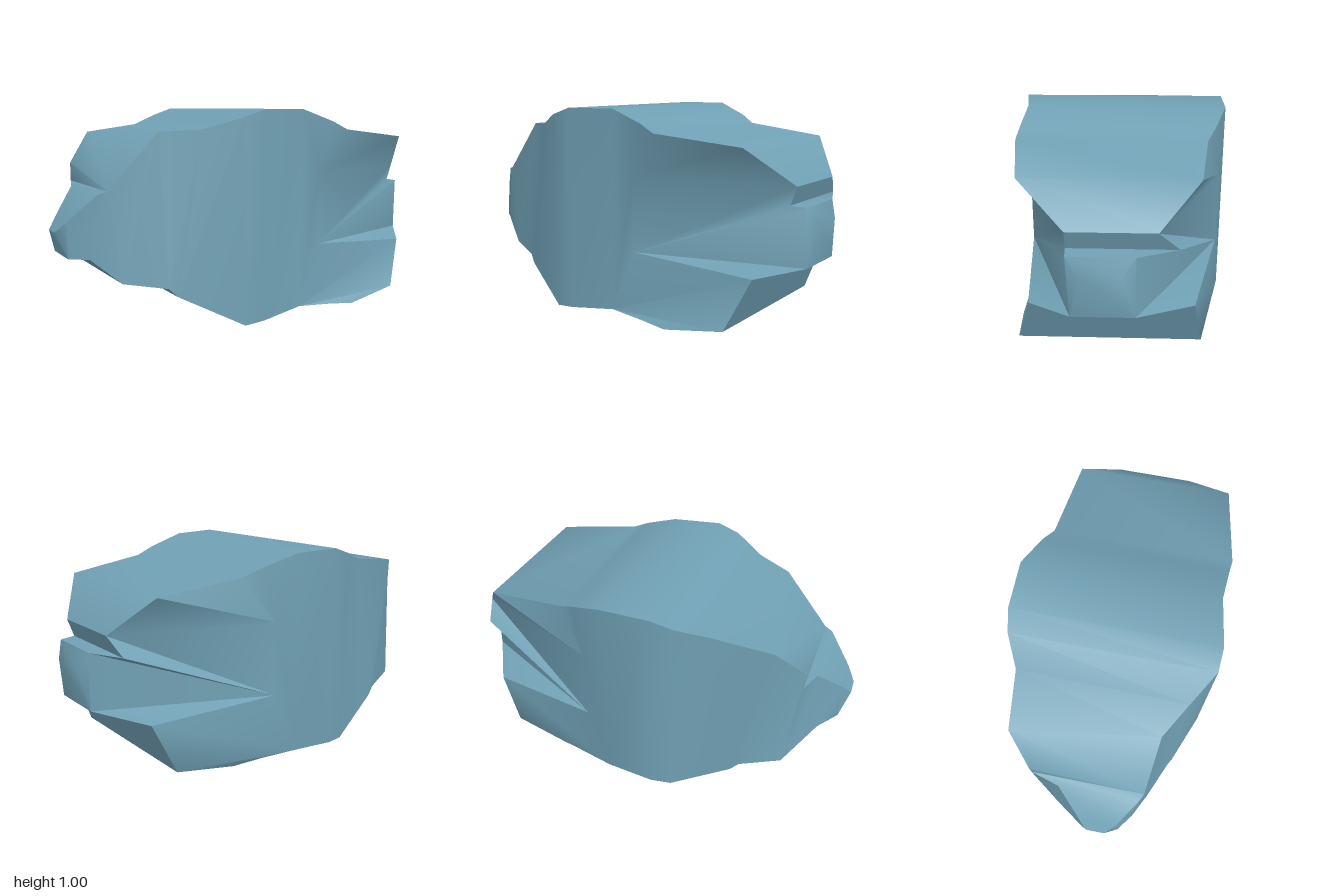
import * as THREE from 'three';
import { toCreasedNormals } from 'three/addons/utils/BufferGeometryUtils.js';

// Upper edges, left to right: front x, y, z, then back x, y, z
const UPPER = [
  [-1, 0.45, 0.11, -1, 0.45, 0.02],
  [-0.96, 0.5, 0.16, -0.96, 0.5, -0.02],
  [-0.84, 0.63, 0.25, -0.84, 0.63, -0.14],
  [-0.8, 0.64, 0.27, -0.8, 0.64, -0.28],
  [-0.8, 0.64, 0.27, -0.8, 0.73, -0.28],
  [-0.57, 0.9, 0.3, -0.67, 0.88, -0.39],
  [-0.4, 0.91, 0.4, -0.39, 0.915, -0.42],
  [-0.24, 0.965, 0.5, -0.24, 0.965, -0.49],
  [-0.13, 1, 0.505, -0.13, 1, -0.51],
  [0.11, 1, 0.465, 0.11, 1, -0.51],
];
// Lower edges at the same stations: x, y, front z, back z
const LOWER = [
  [-1, 0.45, 0.11, 0.02],
  [-0.96, 0.335, 0.17, -0.04],
  [-0.88, 0.335, 0.23, -0.16],
  [-0.75, 0.22, 0.29, -0.34],
  [-0.75, 0.22, 0.29, -0.34],
  [-0.56, 0.19, 0.37, -0.41],
  [-0.52, 0.15, 0.39, -0.42],
  [-0.23, 0, 0.5, -0.485],
  [-0.13, 0.01, 0.505, -0.51],
  [0.1, 0.035, 0.465, -0.51],
];
// Outline of the notched right half, from top to bottom: x, y, front z, back z
const RIGHT = [
  [0.11, 1, 0.465, -0.51],
  [0.28, 0.94, 0.48, -0.45],
  [0.36, 0.9, 0.49, -0.41],
  [0.77, 0.855, 0.42, -0.36],
  [0.92, 0.68, 0.205, -0.18],
  [0.89, 0.595, 0.205, -0.27],
  [0.96, 0.59, 0.2, -0.09],
  [1, 0.515, 0.145, -0.03],
  [0.97, 0.32, 0.185, -0.09],
  [0.81, 0.29, 0.385, -0.345],
  [0.71, 0.055, 0.455, -0.385],
  [0.42, 0.01, 0.485, -0.42],
  [0.28, 0.025, 0.48, -0.46],
  [0.1, 0.035, 0.465, -0.51],
];
// Inner corners of the hollow in the right half, lower then upper
const HOLLOW = [
  [0.22, 0.335, 0.45, -0.48],
  [0.22, 0.69, 0.45, -0.48],
];
// Panels of the right half's front and back: shoulder, hollow, foot, inner strip
const PANELS = [
  [0, 1, 2, 3, 4, 15],
  [15, 4, 5, 6, 7, 8, 9, 14],
  [14, 9, 10, 11, 12, 13],
  [0, 15, 14, 13],
];

const v = (x, y, z) => new THREE.Vector3(x, y, z);
const pair = ([x, y, zf, zb]) => ({ front: v(x, y, zf), back: v(x, y, zb) });

function buildRock() {
  const pos = [];
  const tri = (a, b, c) => {
    const area = b.clone().sub(a).cross(c.clone().sub(a)).length();
    if (area > 1e-7) for (const p of [a, b, c]) pos.push(p.x, p.y, p.z);
  };
  const quad = (a, b, c, d) => { tri(a, b, c); tri(a, c, d); };

  const top = UPPER.map(([a, b, c, d, e, f]) => ({ front: v(a, b, c), back: v(d, e, f) }));
  const bottom = LOWER.map(pair);

  // Left half: four-sided sections joined from left to right
  for (let i = 0; i < top.length - 1; i++) {
    const t = top[i], u = top[i + 1], b = bottom[i], c = bottom[i + 1];
    quad(b.front, c.front, u.front, t.front);
    quad(c.back, b.back, t.back, u.back);
    quad(t.front, u.front, u.back, t.back);
    quad(b.back, c.back, c.front, b.front);
  }
  // Left tip wall
  quad(top[0].front, top[0].back, bottom[0].back, bottom[0].front);

  // Right half: walls around the outline
  const right = [...RIGHT, ...HOLLOW].map(pair);
  for (let i = 0; i < RIGHT.length - 1; i++) {
    const p = right[i], q = right[i + 1];
    quad(p.front, q.front, q.back, p.back);
  }
  // Right half: front and back panels
  for (const panel of PANELS) {
    const corners = panel.map((i) => right[i]).reverse();
    const outline = corners.map((p) => new THREE.Vector2(p.front.x, p.front.y));
    for (const ids of THREE.ShapeUtils.triangulateShape(outline, [])) {
      const turn = THREE.ShapeUtils.area(ids.map((i) => outline[i]));
      const [a, b, c] = (turn > 0 ? ids : [...ids].reverse()).map((i) => corners[i]);
      tri(a.front, b.front, c.front);
      tri(c.back, b.back, a.back);
    }
  }

  const geo = new THREE.BufferGeometry();
  geo.setAttribute('position', new THREE.Float32BufferAttribute(pos, 3));
  return toCreasedNormals(geo, 0.8);
}

export function createModel() {
  const group = new THREE.Group();
  group.name = 'rock';
  const stone = new THREE.MeshStandardMaterial({ color: 0x70a0b4 });
  stone.name = 'blue grey stone';
  const body = new THREE.Mesh(buildRock(), stone);
  body.name = 'rockBody';
  group.add(body);
  return group;
}
